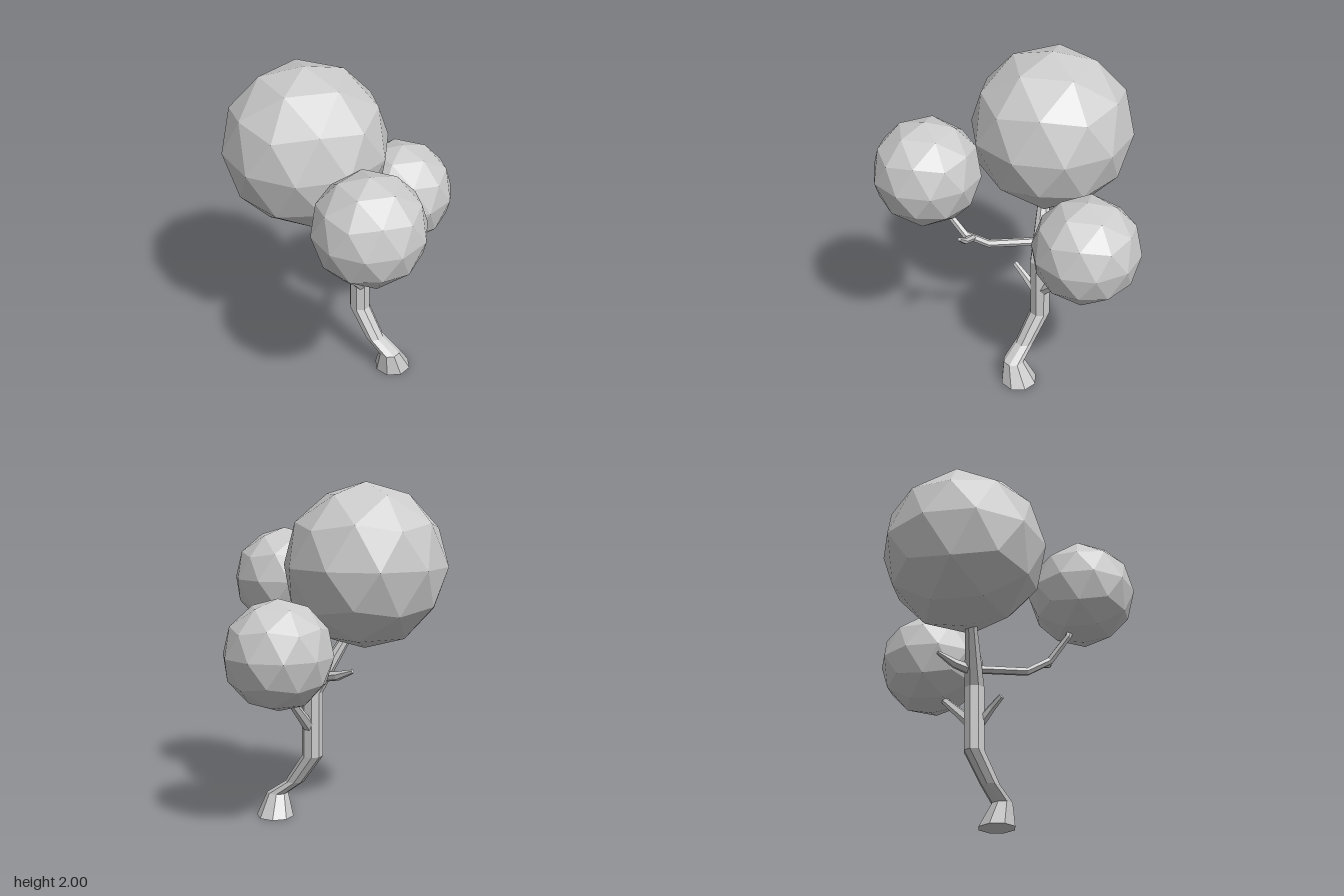
import * as THREE from 'three';

const bark = new THREE.MeshStandardMaterial({ color: 0xcccccc, flatShading: true });
const leaf = new THREE.MeshStandardMaterial({ color: 0xcccccc, flatShading: true });

// Faceted limb through points [x, y, z, radius]; level keeps every ring horizontal.
function limb(name, points, sides, level = false) {
  const centres = points.map(([x, y, z]) => new THREE.Vector3(x, y, z));
  const up = new THREE.Vector3(0, 1, 0);
  const positions = [];
  const index = [];
  centres.forEach((c, i) => {
    const before = centres[Math.max(i - 1, 0)];
    const after = centres[Math.min(i + 1, centres.length - 1)];
    const dir = level ? up : after.clone().sub(before).normalize();
    const turn = new THREE.Quaternion().setFromUnitVectors(up, dir);
    for (let j = 0; j < sides; j++) {
      const a = ((j + 0.5) / sides) * Math.PI * 2;
      const v = new THREE.Vector3(Math.sin(a), 0, Math.cos(a)).multiplyScalar(points[i][3]);
      positions.push(...v.applyQuaternion(turn).add(c).toArray());
    }
  });
  const last = (points.length - 1) * sides;
  for (let i = 0; i < last; i += sides) {
    for (let j = 0; j < sides; j++) {
      const k = (j + 1) % sides;
      index.push(i + j, i + k, i + sides + k, i + j, i + sides + k, i + sides + j);
    }
  }
  // End caps
  for (let j = 1; j < sides - 1; j++) {
    index.push(0, j + 1, j, last, last + j, last + j + 1);
  }
  const geometry = new THREE.BufferGeometry();
  geometry.setAttribute('position', new THREE.Float32BufferAttribute(positions, 3));
  geometry.setIndex(index);
  geometry.computeVertexNormals();
  const mesh = new THREE.Mesh(geometry, bark);
  mesh.name = name;
  return mesh;
}

// Icosphere with a corner pointing straight up
function foliage(name, x, y, z, radius) {
  const geometry = new THREE.IcosahedronGeometry(radius, 1);
  geometry.rotateZ(-Math.atan(2 / (1 + Math.sqrt(5))));
  const mesh = new THREE.Mesh(geometry, leaf);
  mesh.position.set(x, y, z);
  mesh.name = name;
  return mesh;
}

export function createModel() {
  const tree = new THREE.Group();
  tree.name = 'tree';

  // Crooked trunk with a flared foot
  tree.add(limb('trunk', [
    [0.205, 0.005, -0.09, 0.112],
    [0.21, 0.14, -0.05, 0.064],
    [0.10, 0.22, -0.035, 0.057],
    [-0.025, 0.395, -0.04, 0.063],
    [-0.025, 0.78, -0.04, 0.062],
    [-0.17, 1.08, 0.08, 0.038],
    [-0.27, 1.30, 0.165, 0.03],
  ], 8, true));

  // Branches that carry foliage
  tree.add(limb('backBranch', [
    [-0.02, 0.55, -0.04, 0.038],
    [-0.02, 0.765, -0.28, 0.024],
    [-0.02, 0.90, -0.40, 0.02],
  ], 6));
  tree.add(limb('leftBranch', [
    [-0.07, 0.88, -0.01, 0.025],
    [0.17, 0.873, 0.20, 0.024],
    [0.285, 0.955, 0.275, 0.024],
    [0.33, 1.09, 0.385, 0.02],
    [0.38, 1.25, 0.41, 0.016],
  ], 6));

  // Bare stubs
  tree.add(limb('leftTwig', [
    [0.25, 0.93, 0.25, 0.022],
    [0.34, 0.965, 0.215, 0.019],
    [0.40, 1.02, 0.19, 0.012],
  ], 6));
  tree.add(limb('frontTwig', [
    [0, 0.56, -0.03, 0.032],
    [0.02, 0.645, 0.055, 0.023],
    [0.03, 0.70, 0.125, 0.018],
  ], 6));
  tree.add(limb('rightTwig', [
    [-0.06, 0.87, -0.01, 0.034],
    [-0.19, 0.89, -0.04, 0.028],
    [-0.30, 0.93, -0.06, 0.012],
  ], 6));

  // Foliage balls
  tree.add(foliage('mainFoliage', -0.28, 1.52, 0.13, 0.482));
  tree.add(foliage('leftFoliage', 0.43, 1.393, 0.415, 0.316));
  tree.add(foliage('backFoliage', -0.018, 1.055, -0.42, 0.316));

  return tree;
}
